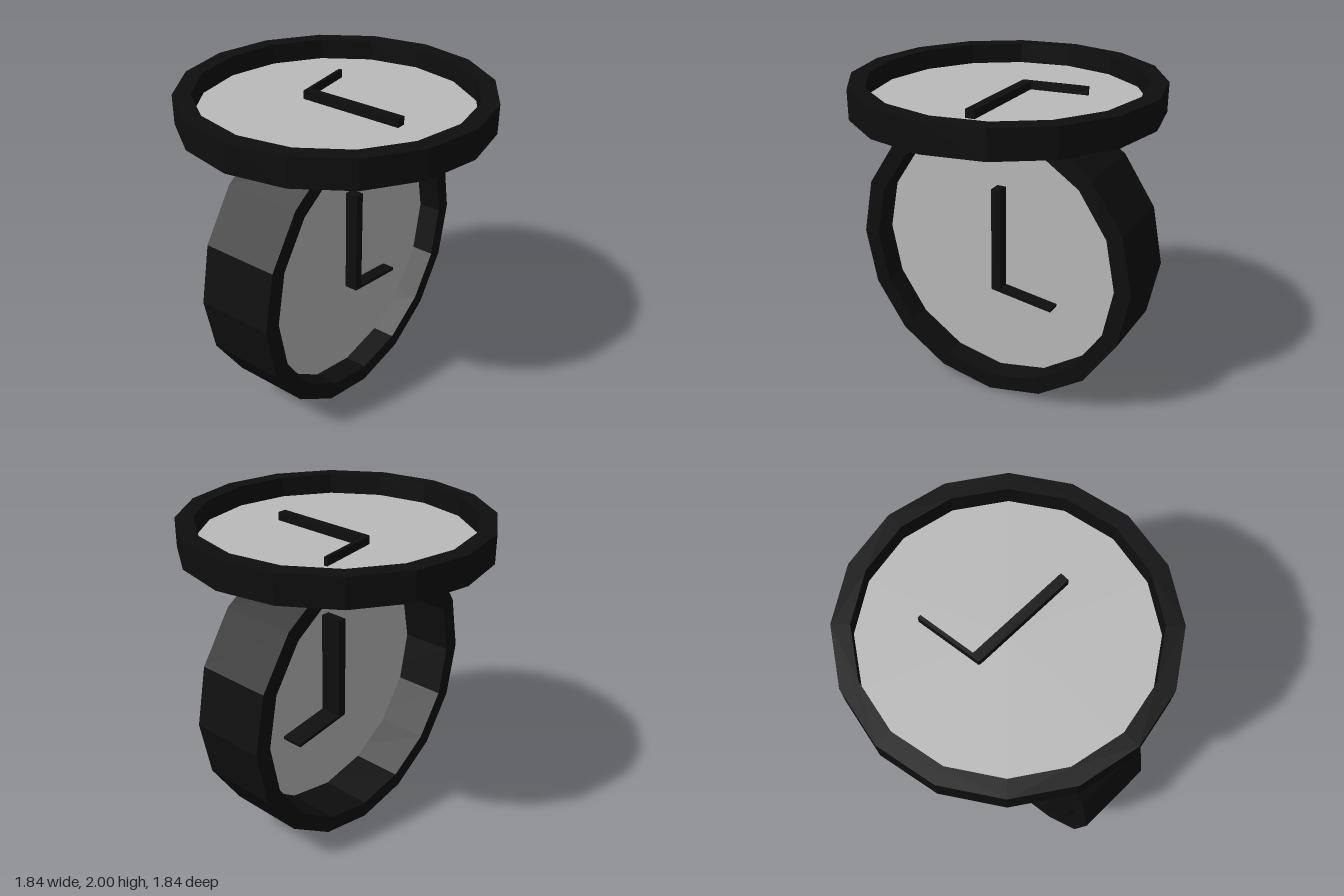
import * as THREE from 'three';

const R = 0.92, INNER = 0.817, SIDES = 16;

function polygon(Type, r) {
  const path = new Type();
  for (let i = 0; i < SIDES; i++) {
    const a = (i / SIDES) * Math.PI * 2;
    if (i) path.lineTo(r * Math.cos(a), r * Math.sin(a));
    else path.moveTo(r, 0);
  }
  path.closePath();
  return path;
}

// One clock lying flat, its axis along y, centred on the origin
function makeClock(name, depth, black, grey) {
  const clock = new THREE.Group();
  clock.name = name;
  const flat = new THREE.Group();
  flat.rotation.x = -Math.PI / 2;
  clock.add(flat);
  const level = (t) => (t - 0.5) * depth;

  const add = (part, geometry, material) => {
    const mesh = new THREE.Mesh(geometry, material);
    mesh.name = part;
    flat.add(mesh);
    return mesh;
  };

  // Rim
  const shape = polygon(THREE.Shape, R);
  shape.holes.push(polygon(THREE.Path, INNER));
  const rim = new THREE.ExtrudeGeometry(shape, { depth, bevelEnabled: false });
  add('rim', rim.translate(0, 0, -depth / 2), black);

  // Dial, visible from both sides
  add('dial', new THREE.CircleGeometry(INNER + 0.02, SIDES), grey).position.z = level(0.305);

  // Hands pass through the dial
  const low = level(0.138), high = level(0.595);
  const hand = (part, x0, y0, x1, y1, width) => {
    const length = Math.hypot(x1 - x0, y1 - y0);
    const mesh = add(part, new THREE.BoxGeometry(length, width, high - low), black);
    mesh.position.set((x0 + x1) / 2, (y0 + y1) / 2, (low + high) / 2);
    mesh.rotation.z = Math.atan2(y1 - y0, x1 - x0);
  };
  hand('wideHand', -0.225, 0.01, 0.44, 0.01, 0.058);
  hand('narrowHand', -0.22, -0.015, -0.275, 0.39, 0.021);
  return clock;
}

export function createModel() {
  const black = new THREE.MeshStandardMaterial({ color: 0x0e0e0e });
  black.name = 'black';
  const grey = new THREE.MeshStandardMaterial({ color: 0xbababa, side: THREE.DoubleSide });
  grey.name = 'dialGrey';

  const model = new THREE.Group();
  model.name = 'clocks';

  // Thin clock lying on top
  const top = makeClock('topClock', 0.175, black, grey);
  top.position.y = 1.9125;

  // Deep clock standing on edge
  const standing = makeClock('standingClock', 0.482, black, grey);
  standing.rotation.z = Math.PI / 2;
  standing.position.set(-0.006, R, 0);

  model.add(top, standing);
  return model;
}
